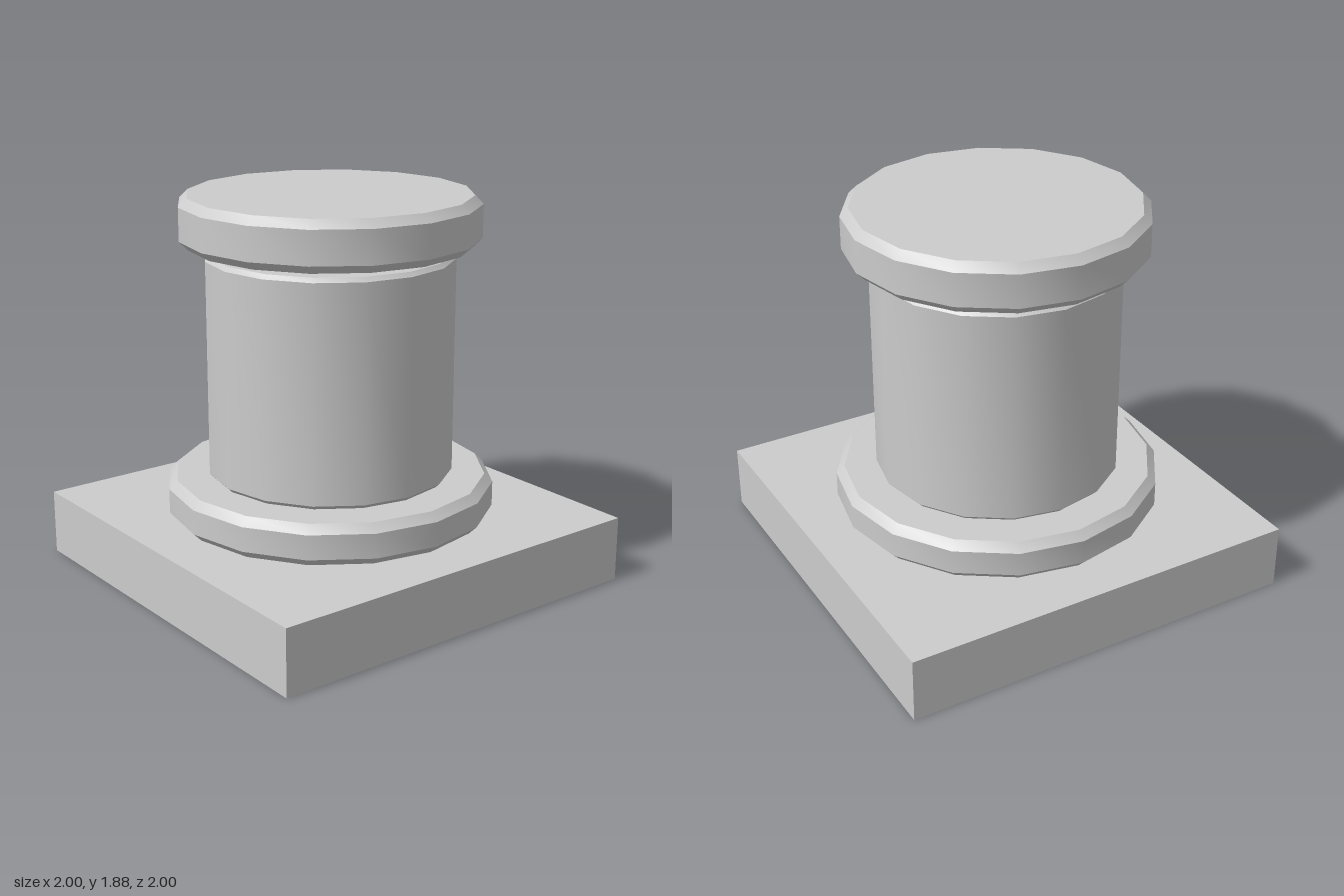
import * as THREE from 'three';
import { toCreasedNormals } from 'three/addons/utils/BufferGeometryUtils.js';

const SIDES = 16;
const material = new THREE.MeshStandardMaterial({ color: 0xcccccc });

// Solid round drum with 45-degree chamfers on both rims
function chamferedDrum(name, radius, bottom, top, chamfer) {
  const profile = [
    [0, bottom],
    [radius - chamfer, bottom],
    [radius, bottom + chamfer],
    [radius, top - chamfer],
    [radius - chamfer, top],
    [0, top],
  ].map(([r, y]) => new THREE.Vector2(r, y));
  const lathe = new THREE.LatheGeometry(profile, SIDES);
  const mesh = new THREE.Mesh(toCreasedNormals(lathe, Math.PI / 6), material);
  mesh.name = name;
  return mesh;
}

export function createModel() {
  const model = new THREE.Group();
  model.name = 'pedestal';

  // Square slab the column stands on
  const plinth = new THREE.Mesh(new THREE.BoxGeometry(2, 0.32, 2), material);
  plinth.name = 'plinth';
  plinth.position.y = 0.16;

  model.add(
    plinth,
    chamferedDrum('baseRing', 0.8, 0.32, 0.52, 0.04),
    chamferedDrum('shaft', 0.6, 0.52, 1.605, 0.02),
    // The cap hovers just above the shaft
    chamferedDrum('cap', 0.72, 1.645, 1.885, 0.04),
  );
  return model;
}
